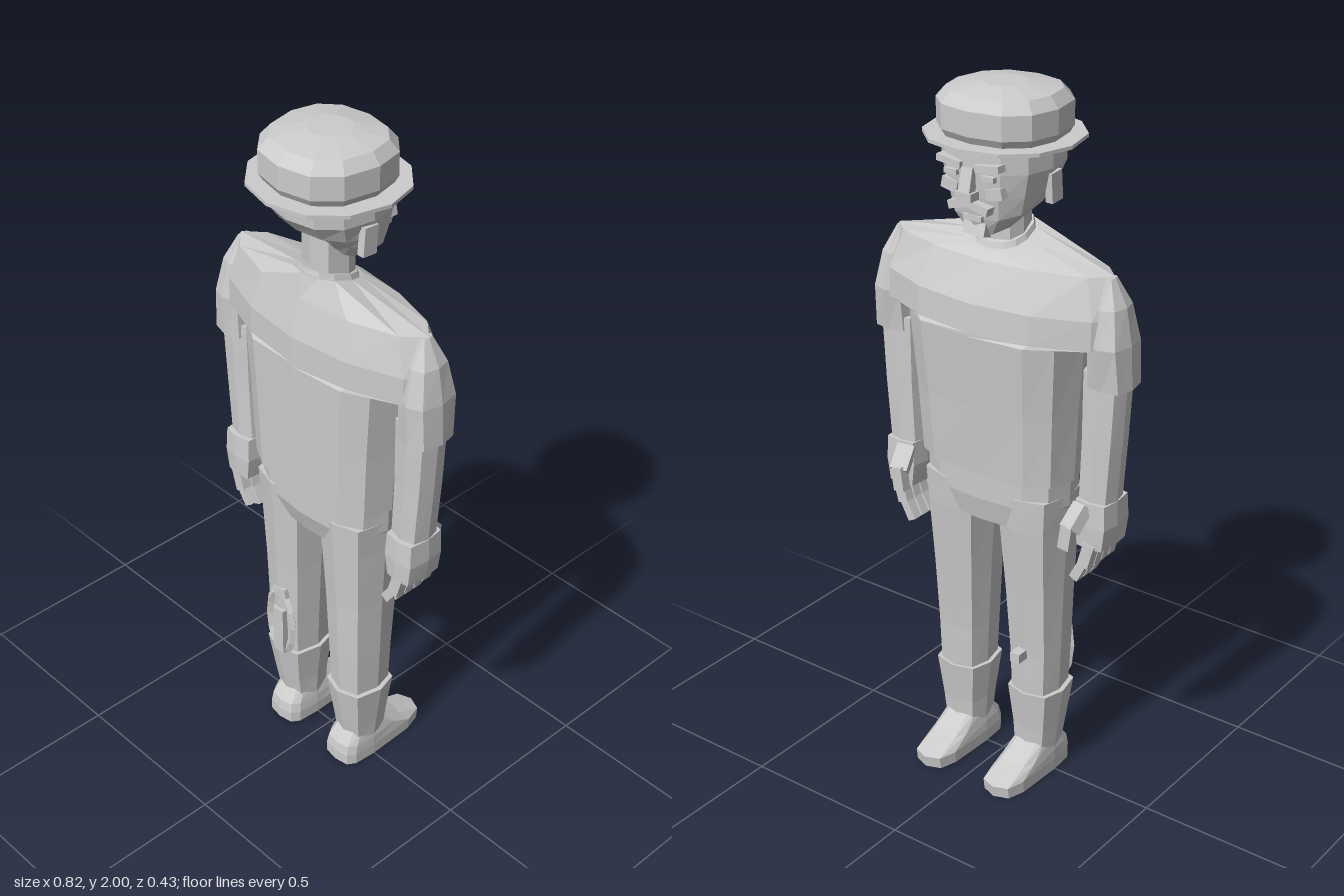
import * as THREE from 'three';

const clay = new THREE.MeshStandardMaterial({ color: 0xcccccc, flatShading: true });
clay.name = 'plain grey';

// Ring fields: [y, halfWidth, zBack, zFace, power, centreX, tilt]; power below 1 is boxy, above 1 lozenge
function ring([y, w, zb, zf, p = 1, cx = 0, tilt = 0], n) {
  const pts = [];
  for (let i = 0; i < n; i++) {
    const a = (i / n) * Math.PI * 2;
    const c = Math.cos(a), s = Math.sin(a);
    const f = (v) => (Math.abs(v) < 1e-6 ? 0 : Math.sign(v) * Math.abs(v) ** p);
    const z = f(s) * (s > 0 ? zb : -zf);
    pts.push([cx + w * f(c), y + tilt * z, z]);
  }
  return pts;
}

// Skin rings listed from bottom to top, with closed ends
function loft(sections, n = 12) {
  const rings = sections.map((s) => ring(s, n));
  const out = [];
  const mid = (r) => [0, 1, 2].map((k) => r.reduce((t, q) => t + q[k], 0) / n);
  const first = rings[0], last = rings[rings.length - 1];
  const lo = mid(first), hi = mid(last);
  for (let j = 0; j < n; j++) {
    const k = (j + 1) % n;
    for (let i = 0; i < rings.length - 1; i++) {
      const a = rings[i], b = rings[i + 1];
      out.push(...a[j], ...b[j], ...a[k], ...a[k], ...b[j], ...b[k]);
    }
    out.push(...lo, ...first[j], ...first[k], ...hi, ...last[k], ...last[j]);
  }
  const g = new THREE.BufferGeometry();
  g.setAttribute('position', new THREE.Float32BufferAttribute(out, 3));
  g.computeVertexNormals();
  return g;
}

export function createModel() {
  const group = new THREE.Group();
  const add = (name, geo) => {
    const m = new THREE.Mesh(geo, clay);
    m.name = name;
    group.add(m);
    return m;
  };
  const box = (name, w, h, d, x, y, z, rz = 0, rx = 0) => {
    const m = add(name, new THREE.BoxGeometry(w, h, d));
    m.position.set(x, y, z);
    m.rotation.set(rx, 0, rz);
    return m;
  };
  // Square bar running from one point to another
  const bar = (name, a, b, w, d) => {
    const p = new THREE.Vector3(...a), q = new THREE.Vector3(...b);
    const dir = q.clone().sub(p);
    const m = add(name, new THREE.BoxGeometry(w, dir.length(), d));
    m.position.copy(p).add(q).multiplyScalar(0.5);
    m.quaternion.setFromUnitVectors(new THREE.Vector3(0, 1, 0), dir.normalize());
    return m;
  };

  // Shirt with wide pointed shoulders, collar and neck
  add('shirt', loft([
    [0.95, 0.235, 0.13, -0.125, 0.65],
    [1.15, 0.245, 0.135, -0.14, 0.65],
    [1.36, 0.26, 0.14, -0.16, 0.65],
    [1.37, 0.385, 0.14, -0.16, 1.1],
    [1.45, 0.385, 0.14, -0.155, 1.1],
    [1.555, 0.35, 0.115, -0.105, 1.15],
    [1.595, 0.08, 0.1, -0.08, 0.9, 0, 0.3],
  ]));
  add('collar', loft([
    [1.57, 0.085, 0.1, -0.075, 0.9, 0, 0.3],
    [1.61, 0.07, 0.09, -0.06, 0.9, 0, 0.3],
  ]));
  add('neck', loft([[1.55, 0.065, 0.075, -0.05, 0.8], [1.76, 0.065, 0.075, -0.05, 0.8]], 8));

  // Head with sloping jaw
  add('head', loft([
    [1.665, 0.075, 0.03, -0.115, 0.9, 0, 0.35],
    [1.71, 0.125, 0.075, -0.13, 0.85, 0, 0.3],
    [1.745, 0.14, 0.12, -0.14, 0.85, 0, 0.1],
    [1.8, 0.155, 0.155, -0.145, 0.85],
    [1.87, 0.155, 0.16, -0.145, 0.85],
  ]));
  bar('nose', [0, 1.81, -0.14], [0, 1.74, -0.157], 0.035, 0.025);
  box('noseTip', 0.05, 0.022, 0.035, 0, 1.74, -0.153);
  box('lowerLip', 0.06, 0.015, 0.02, 0, 1.675, -0.124);
  box('chin', 0.07, 0.035, 0.03, 0, 1.642, -0.112, 0, 0.3);
  for (const s of [1, -1]) {
    box('brow', 0.075, 0.018, 0.03, s * 0.06, 1.818, -0.138, s * 0.12);
    box('eye', 0.04, 0.014, 0.014, s * 0.058, 1.79, -0.14);
    box('cheek', 0.05, 0.03, 0.025, s * 0.07, 1.75, -0.124, s * 0.2);
    box('moustache', 0.065, 0.022, 0.03, s * 0.03, 1.712, -0.138, -s * 0.25);
    box('ear', 0.022, 0.08, 0.045, s * 0.147, 1.75, 0.015, 0, -0.08);
  }

  // Rounded hat with a flat brim
  add('hatBrim', loft([
    [1.86, 0.212, 0.215, -0.193, 0.95],
    [1.87, 0.212, 0.215, -0.193, 0.95],
  ]));
  add('hatCrown', loft([
    [1.868, 0.158, 0.165, -0.14, 0.85],
    [1.89, 0.17, 0.178, -0.153, 0.85],
    [1.955, 0.17, 0.178, -0.153, 0.85],
    [1.985, 0.145, 0.15, -0.128, 0.85],
    [2.0, 0.06, 0.065, -0.055],
  ]));

  // Trousers seat
  add('hips', loft([
    [0.8, 0.2, 0.095, -0.1, 0.7],
    [0.87, 0.222, 0.118, -0.115, 0.7],
    [0.97, 0.225, 0.12, -0.118, 0.7],
  ]));

  for (const s of [1, -1]) {
    // Sleeve, arm and palm
    add('sleeve', loft([
      [1.26, 0.058, 0.07, -0.06, 0.6, s * 0.352],
      [1.38, 0.055, 0.075, -0.075, 0.7, s * 0.35],
      [1.48, 0.042, 0.055, -0.055, 0.8, s * 0.345],
      [1.552, 0.012, 0.02, -0.02, 1, s * 0.338],
    ], 8));
    add('arm', loft([
      [0.92, 0.052, 0.055, -0.05, 0.65, s * 0.32],
      [1.1, 0.056, 0.055, -0.052, 0.65, s * 0.33],
      [1.3, 0.062, 0.058, -0.052, 0.65, s * 0.336],
    ], 8));
    add('palm', loft([
      [0.795, 0.045, 0.07, -0.06, 0.4, s * 0.322],
      [0.86, 0.055, 0.072, -0.062, 0.4, s * 0.322],
      [0.93, 0.052, 0.068, -0.06, 0.4, s * 0.322],
    ], 8));
    // Curled fingers and thumb
    for (let i = 0; i < 4; i++) {
      const z = 0.053 - i * 0.034;
      const tip = i === 0 ? 0.705 : 0.692;
      bar('fingerBase', [s * 0.328, 0.81, z], [s * 0.308, 0.74, z], 0.034, 0.03);
      bar('fingerTip', [s * 0.31, 0.752, z], [s * 0.278, tip, z], 0.027, 0.027);
    }
    bar('thumbBase', [s * 0.3, 0.915, -0.05], [s * 0.29, 0.86, -0.1], 0.05, 0.035);
    bar('thumbTip', [s * 0.29, 0.875, -0.1], [s * 0.28, 0.805, -0.1], 0.035, 0.03);

    // Leg, boot shaft and foot
    add('leg', loft([
      [0.25, 0.068, 0.085, -0.072, 0.7, s * 0.126],
      [0.4, 0.074, 0.092, -0.075, 0.7, s * 0.126],
      [0.6, 0.082, 0.098, -0.09, 0.7, s * 0.124],
      [0.8, 0.093, 0.108, -0.108, 0.7, s * 0.122],
      [0.9, 0.1, 0.115, -0.112, 0.7, s * 0.122],
    ], 8));
    add('bootShaft', loft([
      [0.08, 0.06, 0.065, -0.062, 0.7, s * 0.124],
      [0.15, 0.066, 0.078, -0.066, 0.7, s * 0.126],
      [0.275, 0.082, 0.098, -0.08, 0.7, s * 0.127],
    ], 8));
    add('foot', loft([
      [0, 0.063, 0.1, -0.212, 0.55, s * 0.122],
      [0.035, 0.063, 0.1, -0.217, 0.55, s * 0.122],
      [0.065, 0.06, 0.095, -0.135, 0.6, s * 0.123],
      [0.105, 0.052, 0.064, -0.062, 0.7, s * 0.124],
    ]));
  }

  // Coiled loop on one calf, its plate and the small peg on the shin
  for (const [rx, ry, z] of [[0.052, 0.11, 0.083], [0.043, 0.125, 0.076]]) {
    const loop = add('calfLoop', new THREE.TorusGeometry(1, 0.22, 4, 12));
    loop.scale.set(rx, ry, 0.045);
    loop.position.set(-0.125, 0.375, z);
  }
  box('calfPlate', 0.04, 0.16, 0.02, -0.12, 0.35, 0.09);
  box('calfKnot', 0.05, 0.03, 0.025, -0.115, 0.495, 0.085, 0.2);
  box('shinPeg', 0.03, 0.028, 0.05, -0.12, 0.405, -0.085);

  return group;
}
